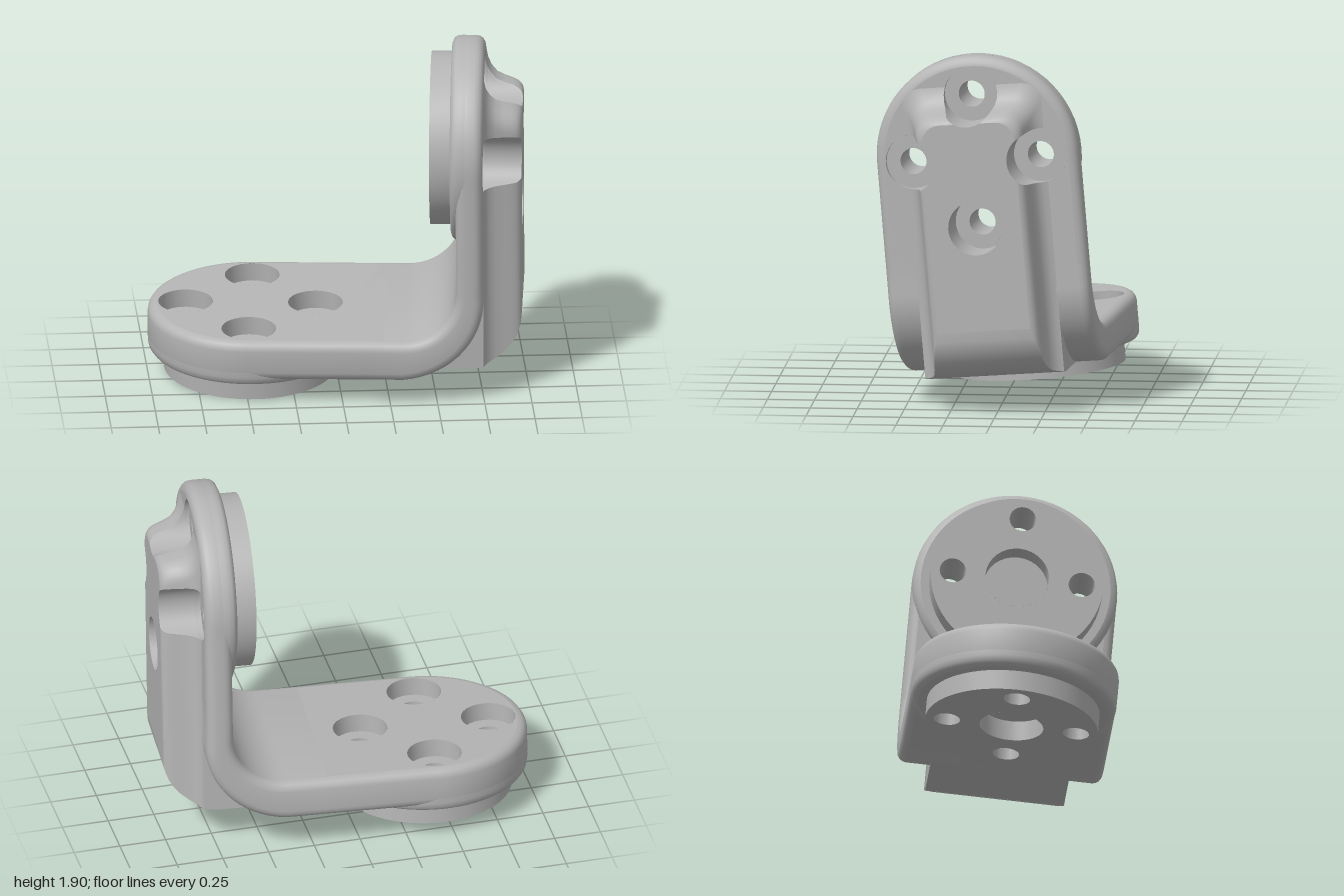
import * as THREE from 'three';
import { toCreasedNormals } from 'three/addons/utils/BufferGeometryUtils.js';

const HALF = 0.545;   // half width of the bracket strip
const PITCH = 0.344;  // bolt circle radius
const BOLT = 0.07, BORE = 0.145, BOSS = 0.46, SEAT = 0.26;
const PAD = 0.11, STRIP = 0.142;  // depths of the round pad face and of the strip behind it
const RIB_TOP = 0.485;

const steel = new THREE.MeshStandardMaterial({ color: 0xb4b4b4, side: THREE.DoubleSide });
steel.name = 'plain grey';

function add(group, name, geometry) {
  const mesh = new THREE.Mesh(geometry, steel);
  mesh.name = name;
  group.add(mesh);
  return mesh;
}

// Skin through equal-length closed loops of [x, y, z]
function loft(loops) {
  const n = loops[0].length, index = [];
  for (let i = 0; i < loops.length - 1; i++)
    for (let j = 0; j < n; j++) {
      const k = (j + 1) % n, a = i * n, b = a + n;
      index.push(a + j, a + k, b + k, a + j, b + k, b + j);
    }
  const g = new THREE.BufferGeometry();
  g.setAttribute('position', new THREE.Float32BufferAttribute(loops.flat(2), 3));
  g.setIndex(index);
  return toCreasedNormals(g, 0.7);
}

// Flat face with round holes [x, y, r]
function cap(points, holes, z, flip) {
  const shape = new THREE.Shape(points.map(p => new THREE.Vector2(p[0], p[1])));
  for (const [x, y, r] of holes) shape.holes.push(new THREE.Path().absarc(x, y, r, 0, Math.PI * 2, true));
  const g = new THREE.ShapeGeometry(shape, 24);
  if (flip) g.rotateY(Math.PI);
  return g.translate(0, 0, z);
}

// Surface turned about the depth axis from [radius, depth] points
function turned(profile, segments = 32) {
  const g = new THREE.LatheGeometry(profile.map(p => new THREE.Vector2(p[0], p[1])), segments);
  return toCreasedNormals(g.rotateX(Math.PI / 2), 0.6);
}

function arc(cx, cy, r, from, to, n) {
  return Array.from({ length: n + 1 }, (_, i) => {
    const t = from + (to - from) * i / n;
    return [cx + r * Math.cos(t), cy + r * Math.sin(t)];
  });
}

const disc = r => arc(0, 0, r, 0, Math.PI * 2, 64).slice(0, -1);

// Rounded edge: [height, inset] across a plate of given thickness
function edgeProfile(thick) {
  const r = 0.05, out = [];
  for (let i = 0; i <= 4; i++) {
    const t = i / 4 * Math.PI / 2;
    out.push([r * (1 - Math.cos(t)), r * (1 - Math.sin(t))]);
  }
  return [...out, ...out.slice().reverse().map(([h, s]) => [thick - h, s])];
}

const bolts = [[0, PITCH], [PITCH, 0], [0, -PITCH], [-PITCH, 0]];

// Round-ended plate with pad, boss and four counterbored holes, depth along +z
function mountingPlate(name, top, tail, boreTops) {
  const group = new THREE.Group();
  group.name = name;
  const outline = inset => [[-HALF + inset, -tail], [HALF - inset, -tail],
    ...arc(0, 0, HALF - inset, 0, Math.PI, 48)];
  const edges = edgeProfile(top - STRIP);
  const through = bolts.map(b => [...b, BOLT]), wide = bolts.map(b => [...b, BORE]);
  add(group, 'plateEdge', loft(edges.map(([h, s]) => outline(s).map(p => [...p, STRIP + h]))));
  add(group, 'plateBack', cap(outline(0.05), [[0, 0, BOSS]], STRIP, true));
  add(group, 'plateFace', cap(outline(0.05), wide, top));
  add(group, 'padFace', cap(disc(0.505), through, PAD, true));
  add(group, 'padEdge', turned([[0.505, PAD], [0.53, 0.12], [0.541, 0.135], [HALF, 0.16], [HALF, 0.19]], 64));
  add(group, 'bossFace', cap(disc(BOSS), [...through, [0, 0, 0.17]], 0, true));
  add(group, 'bossWall', turned([[BOSS, 0], [BOSS, PAD]], 64));
  add(group, 'bossRecess', turned([[0.17, PAD], [0.17, 0]]));
  bolts.forEach(([x, y], i) => {
    const hole = add(group, 'boltHole', turned([[BORE, boreTops[i]], [BORE, SEAT], [BOLT, SEAT], [BOLT, 0]]));
    hole.position.set(x, y, 0);
  });
  return group;
}

// Outline of the stiffening rib, bitten by the counterbores
function ribOutline(w, top, bottom) {
  const side = Math.acos((w - PITCH) / BORE), c = 0.1;
  const crown = Math.acos((PITCH - top) / BORE);
  const right = [[w, bottom],
    ...arc(PITCH, 0, BORE, -side, side - Math.PI * 2, 16),
    ...arc(w - c, top - c, c, 0, Math.PI / 2, 6),
    ...arc(0, PITCH, BORE, -Math.PI / 2 + crown, -Math.PI / 2, 8)];
  const left = right.slice(0, -1).reverse().map(([x, y]) => [-x, y]);
  return [...right, ...left];
}

function addRib(group) {
  // [depth, half width, top]
  const layers = [[0.285, 0.375, 0.39], [0.295, 0.35, 0.35], [0.315, 0.328, 0.315], [0.345, 0.312, 0.285],
    [0.39, 0.3, 0.268], [0.43, 0.29, 0.258], [0.455, 0.283, 0.248], [0.47, 0.274, 0.238],
    [0.48, 0.263, 0.228], [RIB_TOP, 0.25, 0.217]];
  // lower end follows the rounded heel
  const bottom = d => -0.897 - Math.sqrt(Math.max(0, 0.28 ** 2 - (d - 0.205) ** 2));
  const loops = layers.map(([d, w, t]) => ribOutline(w, t, bottom(d)));
  add(group, 'ribSides', loft(loops.map((loop, i) => loop.map(p => [...p, layers[i][0]]))));
  add(group, 'ribFace', cap(loops.at(-1), [[0, -PITCH, BORE]], RIB_TOP));
}

// Curved strip joining both plates
function bendGeometry() {
  const thickLow = 0.36 - STRIP, thickHigh = 0.285 - STRIP;
  const stations = [[0.6, 0.36, 0, thickLow]];
  for (let i = 0; i <= 16; i++) {
    const t = i / 16 * Math.PI / 2;
    stations.push([0.822 + 0.28 * Math.sin(t), 0.64 - 0.28 * Math.cos(t), t,
      thickLow + (thickHigh - thickLow) * i / 16]);
  }
  stations.push([1.102, 0.8, Math.PI / 2, thickHigh]);
  return loft(stations.map(([x, y, t, thick]) => {
    const at = (h, z) => [x + Math.sin(t) * h, y - Math.cos(t) * h, z];
    const edge = edgeProfile(thick);
    return [...edge.map(([h, s]) => at(h, HALF - s)),
      ...edge.slice().reverse().map(([h, s]) => at(h, s - HALF))];
  }));
}

export function createModel() {
  const model = new THREE.Group();
  model.name = 'angleBracket';
  const bracket = new THREE.Group();
  bracket.name = 'bracket';
  model.add(bracket);

  // Lower plate, boss facing down
  const base = mountingPlate('basePlate', 0.36, 0.72, [0.36, 0.36, 0.36, 0.36]);
  base.setRotationFromMatrix(new THREE.Matrix4().makeBasis(
    new THREE.Vector3(0, 0, -1), new THREE.Vector3(-1, 0, 0), new THREE.Vector3(0, 1, 0)));
  bracket.add(base);

  // Upright plate, boss facing inward, rib on the outside
  const upright = mountingPlate('uprightPlate', 0.285, 0.6, [0.285, 0.285, RIB_TOP, 0.285]);
  upright.setRotationFromMatrix(new THREE.Matrix4().makeBasis(
    new THREE.Vector3(0, 0, -1), new THREE.Vector3(0, 1, 0), new THREE.Vector3(1, 0, 0)));
  upright.position.set(0.96, 1.325, 0);
  addRib(upright);
  bracket.add(upright);

  add(bracket, 'bend', bendGeometry());

  // Heel filling the outside of the bend under the rib
  const heel = new THREE.Shape([[0.78, 0.148], [1.165, 0.148], [1.21, 0.152], [1.245, 0.16], [1.245, 0.64],
    [1.18, 0.5], [1.05, 0.33], [0.9, 0.22]].map(p => new THREE.Vector2(...p)));
  add(bracket, 'heel', new THREE.ExtrudeGeometry(heel, { depth: 0.74, bevelEnabled: false }).translate(0, 0, -0.37));

  // The whole bracket sits slightly turned and tilted
  bracket.rotation.set(0.085, -0.09, 0, 'YXZ');
  bracket.position.set(-0.455, 0.04, -0.11);
  return model;
}
